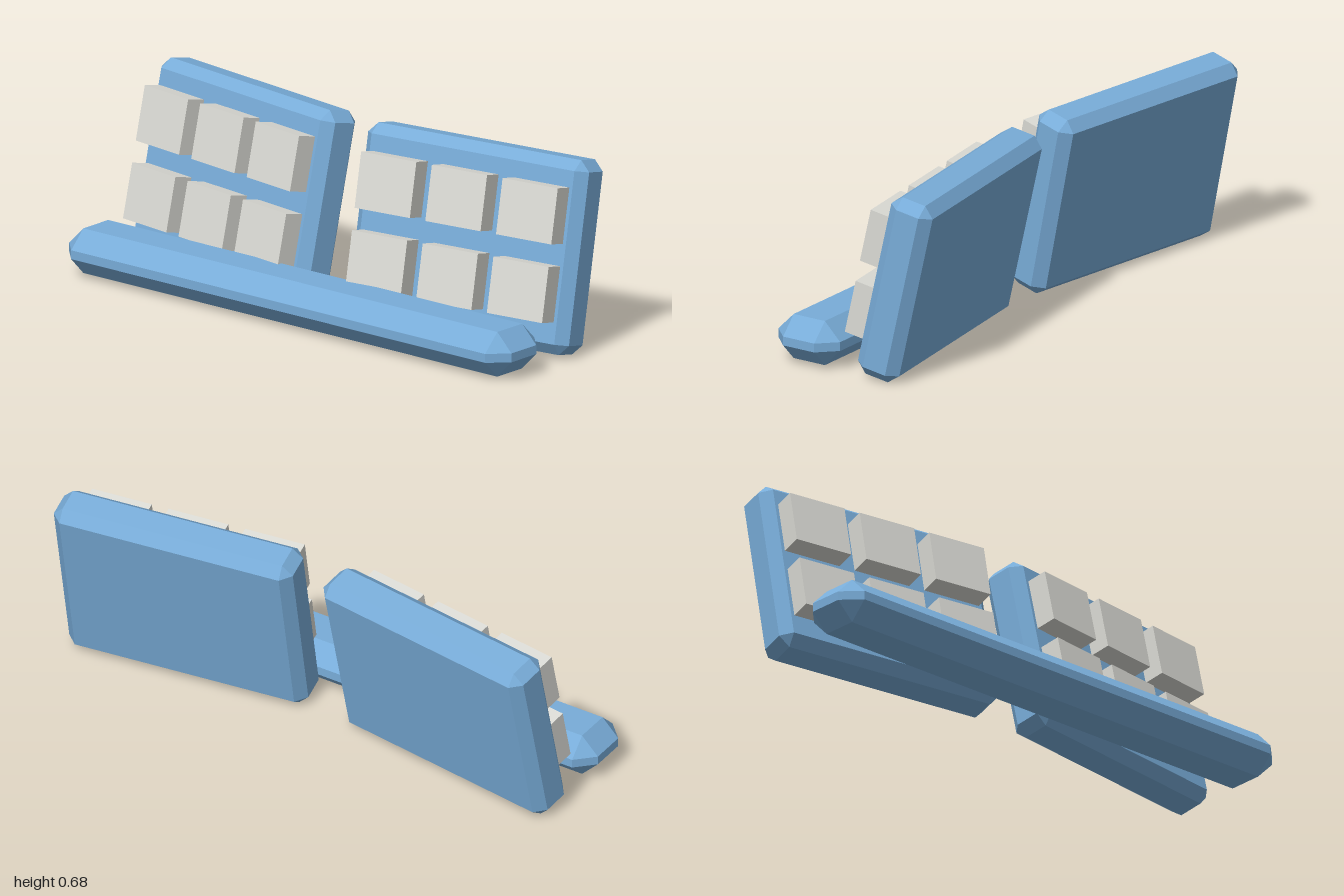
import * as THREE from 'three';
import { ConvexGeometry } from 'three/addons/geometries/ConvexGeometry.js';

// Box with all edges and corners cut at 45 degrees
function chamferedBox(w, h, d, c) {
  const points = [];
  for (const sx of [-1, 1]) for (const sy of [-1, 1]) for (const sz of [-1, 1]) {
    for (let axis = 0; axis < 3; axis++) {
      const p = [w / 2 - c, h / 2 - c, d / 2 - c];
      p[axis] += c;
      points.push(new THREE.Vector3(sx * p[0], sy * p[1], sz * p[2]));
    }
  }
  return new ConvexGeometry(points);
}

export function createModel() {
  const blue = new THREE.MeshStandardMaterial({ color: 0x78acd8 });
  blue.name = 'blue';
  const paleGrey = new THREE.MeshStandardMaterial({ color: 0xdadad4 });
  paleGrey.name = 'pale grey';

  const model = new THREE.Group();
  model.name = 'panelUnit';

  function add(parent, geometry, material, name, x, y, z) {
    const mesh = new THREE.Mesh(geometry, material);
    mesh.name = name;
    mesh.position.set(x, y, z);
    parent.add(mesh);
  }

  // Long bar along the front
  add(model, chamferedBox(2, 0.16, 0.258, 0.064), blue, 'frontBar', 0, 0.09, 0.186);

  // Two panels leaning back and turned outwards, each with a grid of blocks
  const W = 0.9, H = 0.677, T = 0.162;
  const panelGeometry = chamferedBox(W, H, T, 0.037);
  const blockDepth = 0.085;
  const blockGeometry = new THREE.BoxGeometry(0.225, 0.195, blockDepth);
  for (const side of [-1, 1]) {
    const half = new THREE.Group();
    half.name = side > 0 ? 'leftPanel' : 'rightPanel';
    half.rotation.set(-THREE.MathUtils.degToRad(12.3), side * THREE.MathUtils.degToRad(8), 0, 'YXZ');
    half.position.set(side * 0.523, 0.34, -0.113);
    add(half, panelGeometry, blue, 'panel', 0, 0, 0);
    for (const y of [0.145, -0.128]) {
      for (const column of [-1, 0, 1]) {
        add(half, blockGeometry, paleGrey, 'block', column * 0.288, y, T / 2 + 0.075 - blockDepth / 2);
      }
    }
    model.add(half);
  }
  return model;
}
